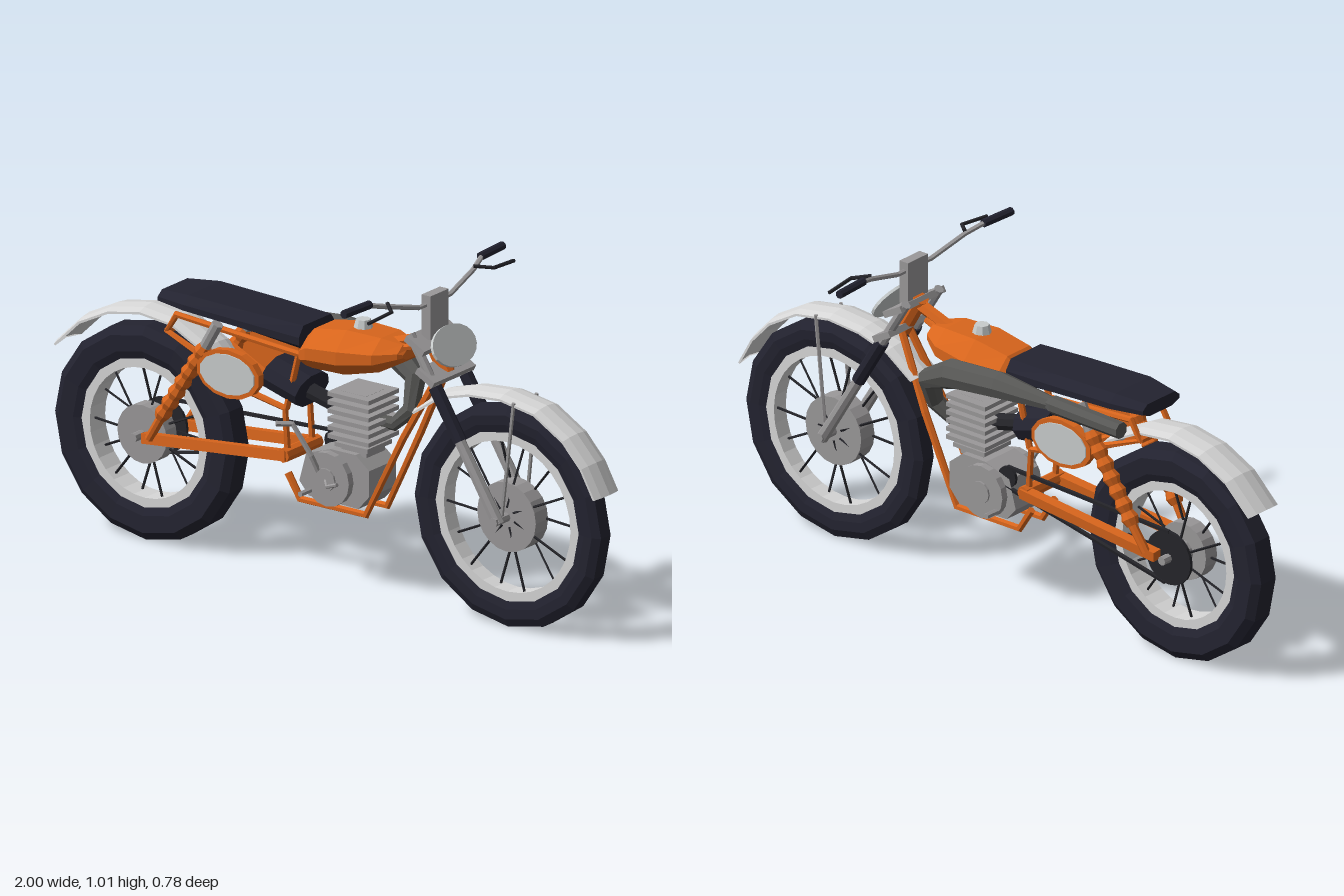
import * as THREE from 'three';

const mat = (name, color) => Object.assign(new THREE.MeshStandardMaterial({ color }), { name });
const M = {
  orange: mat('orange paint', 0xd8651c), dark: mat('dark rubber', 0x232330),
  metal: mat('grey metal', 0x9a9899), light: mat('pale plate', 0xc8cccc),
  white: mat('fender silver', 0xd6d6d6), pipe: mat('exhaust grey', 0x585856),
  black: mat('black steel', 0x25252a),
};
const V = (x, y, z) => new THREE.Vector3(x, y, z);

// Facets a geometry and makes a closed surface face outward
function faceted(geo) {
  const g = geo.index ? geo.toNonIndexed() : geo, p = g.attributes.position;
  const a = V(), b = V(), c = V();
  let vol = 0;
  for (let i = 0; i < p.count; i += 3) {
    a.fromBufferAttribute(p, i); b.fromBufferAttribute(p, i + 1); c.fromBufferAttribute(p, i + 2);
    vol += a.dot(b.cross(c));
  }
  if (vol < 0) for (let i = 0; i < p.count; i += 3) {
    b.fromBufferAttribute(p, i + 1); c.fromBufferAttribute(p, i + 2);
    p.setXYZ(i + 1, c.x, c.y, c.z); p.setXYZ(i + 2, b.x, b.y, b.z);
  }
  g.computeVertexNormals();
  return g;
}

// Skin over equal-sized closed rings, with end caps
function loft(rings) {
  const pos = [], n = rings[0].length;
  const tri = (...v) => v.forEach(q => pos.push(q.x, q.y, q.z));
  for (let i = 0; i + 1 < rings.length; i++) for (let j = 0; j < n; j++) {
    const k = (j + 1) % n, A = rings[i], B = rings[i + 1];
    tri(A[j], A[k], B[k]); tri(A[j], B[k], B[j]);
  }
  const caps = [[rings[0], 1], [rings[rings.length - 1], 0]];
  for (const [r, flip] of caps) {
    const c = r.reduce((s, q) => s.add(q), V(0, 0, 0)).divideScalar(n);
    for (let j = 0; j < n; j++) flip ? tri(c, r[(j + 1) % n], r[j]) : tri(c, r[j], r[(j + 1) % n]);
  }
  const g = new THREE.BufferGeometry();
  g.setAttribute('position', new THREE.Float32BufferAttribute(pos, 3));
  return faceted(g);
}

// Mitred tube through points, with one radius or one per point
function tube(points, radius, sides = 6) {
  const pts = points.map(p => V(...p)), q = new THREE.Quaternion();
  let prev = V(0, 0, 1);
  return loft(pts.map((p, i) => {
    const t = V(0, 0, 0);
    if (i > 0) t.add(p.clone().sub(pts[i - 1]).normalize());
    if (i < pts.length - 1) t.add(pts[i + 1].clone().sub(p).normalize());
    t.normalize();
    q.premultiply(new THREE.Quaternion().setFromUnitVectors(prev, t));
    prev = t;
    const r = Array.isArray(radius) ? radius[i] : radius;
    return Array.from({ length: sides }, (_, k) => {
      const a = (k + 0.5) / sides * Math.PI * 2;
      return V(Math.cos(a) * r, Math.sin(a) * r, 0).applyQuaternion(q).add(p);
    });
  }));
}

export function createModel() {
  const root = new THREE.Group();
  root.name = 'motorcycle';
  const add = (name, geo, m, parent = root) => {
    const mesh = new THREE.Mesh(geo, m);
    mesh.name = name;
    parent.add(mesh);
    return mesh;
  };
  const pipe = (name, pts, r, m, sides, parent) => add(name, tube(pts, r, sides), m, parent);
  const both = (name, pts, r, m, sides) => [1, -1].forEach(s =>
    pipe(name, pts.map(([x, y, z]) => [x, y, z * s]), r, m, sides));
  const box = (name, w, h, d, x, y, z, m, tilt = 0) => {
    const b = add(name, faceted(new THREE.BoxGeometry(w, h, d)), m);
    b.position.set(x, y, z); b.rotation.z = tilt;
    return b;
  };
  // Disc or drum along z
  const disc = (name, r, z0, z1, x, y, m, sides = 20, parent = root) => {
    const d = add(name, faceted(new THREE.CylinderGeometry(r, r, z1 - z0, sides).rotateX(Math.PI / 2)), m, parent);
    d.position.set(x, y, (z0 + z1) / 2);
    return d;
  };

  // Wheels: tyre, rim, spokes, axle
  const wheel = (name, x, y, R, rimR, w) => {
    const g = new THREE.Group();
    g.name = name; g.position.set(x, y, 0); root.add(g);
    const ring = (prof, n) => faceted(new THREE.LatheGeometry(
      prof.map(p => new THREE.Vector2(...p)), n).rotateX(Math.PI / 2));
    const side = [[rimR, w * 0.7], [rimR + 0.03, w * 0.95], [R - 0.025, w], [R, w * 0.65]];
    const mirror = side.map(([r, z]) => [r, -z]).reverse();
    add('tyre', ring([...side, ...mirror, side[0]], 16), M.dark, g);
    const i = rimR - 0.024, o = rimR + 0.006, h = w * 0.75;
    add('rim', ring([[i, h], [o, h], [o, -h], [i, -h], [i, h]], 32), M.white, g);
    for (let k = 0; k < 14; k++) {
      const a = k / 14 * Math.PI * 2, b = a + 0.15, s = k % 2 ? 1 : -1;
      pipe('spoke', [[Math.cos(b) * 0.03, Math.sin(b) * 0.03, s * 0.03],
        [Math.cos(a) * (i + 0.01), Math.sin(a) * (i + 0.01), s * 0.01]], 0.004, M.black, 4, g);
    }
    disc('axle', 0.014, -0.095, 0.095, 0, 0, M.metal, 8, g);
    return g;
  };
  const front = wheel('frontWheel', 0.645, 0.347, 0.34, 0.255, 0.036);
  disc('frontHub', 0.107, -0.03, 0.03, 0, 0, M.metal, 20, front);
  const rear = wheel('rearWheel', -0.67, 0.338, 0.33, 0.224, 0.05);
  disc('rearDrum', 0.09, 0.0, 0.05, 0, 0, M.metal, 20, rear);
  disc('rearHub', 0.04, -0.055, 0, 0, 0, M.metal, 12, rear);
  disc('rearSprocket', 0.085, -0.064, -0.054, 0, 0, M.black, 20, rear);

  // Crowned fenders following the wheels
  const fender = (name, pts, cx, cy, w) => add(name, loft(pts.map(([x, y]) => {
    const n = V(x - cx, y - cy, 0).normalize();
    const row = off => [-1, -0.6, 0, 0.6, 1].map(k => V(x, y, k * w).addScaledVector(n, off - 0.014 * k * k));
    return [...row(0), ...row(-0.007).reverse()];
  })), M.white);
  fender('frontFender', [[0.31, 0.62], [0.41, 0.69], [0.52, 0.722], [0.64, 0.732], [0.77, 0.71],
    [0.88, 0.645], [0.95, 0.57], [1.0, 0.48]], 0.645, 0.35, 0.058);
  fender('rearFender', [[-0.993, 0.565], [-0.9, 0.655], [-0.79, 0.71], [-0.67, 0.733], [-0.55, 0.72],
    [-0.43, 0.66], [-0.34, 0.57]], -0.67, 0.34, 0.064);
  both('fenderStay', [[0.69, 0.715, 0.056], [0.65, 0.36, 0.06]], 0.006, M.metal, 5);

  // Fork, clamps and plate
  both('forkTube', [[0.328, 0.86, 0.075], [0.43, 0.695, 0.075]], 0.015, M.metal, 8);
  both('forkGaiter', [[0.418, 0.715, 0.075], [0.51, 0.565, 0.075]], 0.021, M.dark, 8);
  both('forkLeg', [[0.505, 0.572, 0.075], [0.65, 0.338, 0.075]], [0.017, 0.019], M.metal, 8);
  box('lowerClamp', 0.07, 0.02, 0.205, 0.4, 0.745, 0, M.metal, -0.5);
  box('upperClamp', 0.075, 0.02, 0.2, 0.36, 0.835, 0, M.metal, -0.5);
  box('handlebarMount', 0.032, 0.135, 0.09, 0.362, 0.91, 0, M.metal);
  const plate = add('numberPlate', faceted(new THREE.CylinderGeometry(1, 1, 0.009, 20).scale(0.063, 1, 0.1)), M.light);
  plate.position.set(0.43, 0.825, 0); plate.rotation.z = -1.07;

  // Handlebar, grips and levers
  both('handlebar', [[0.36, 0.948, 0], [0.36, 0.948, 0.075], [0.345, 0.985, 0.21], [0.325, 1.004, 0.28]], 0.008, M.metal);
  both('grip', [[0.325, 1.004, 0.27], [0.318, 1.004, 0.388]], 0.013, M.dark, 8);
  both('lever', [[0.345, 0.995, 0.21], [0.39, 0.988, 0.25], [0.384, 0.98, 0.355]], 0.006, M.black);

  // Frame
  pipe('steeringHead', [[0.335, 0.855, 0], [0.405, 0.735, 0]], 0.026, M.orange, 8);
  pipe('backbone', [[0.36, 0.84, 0], [0.2, 0.785, 0], [-0.06, 0.73, 0]], 0.02, M.orange);
  both('cradle', [[0.4, 0.75, 0.015], [0.28, 0.52, 0.045], [0.15, 0.258, 0.052], [-0.09, 0.258, 0.052],
    [-0.135, 0.33, 0.052]], 0.012, M.orange);
  both('seatRail', [[0.3, 0.8, 0.015], [-0.05, 0.705, 0.06], [-0.53, 0.742, 0.068], [-0.565, 0.685, 0.068],
    [-0.43, 0.63, 0.068], [-0.3, 0.565, 0.068], [-0.14, 0.53, 0.06], [-0.13, 0.38, 0.06]], 0.011, M.orange);
  both('seatStrut', [[-0.135, 0.53, 0.06], [-0.09, 0.71, 0.06]], 0.01, M.orange);
  pipe('rearCrossTube', [[-0.565, 0.685, -0.068], [-0.565, 0.685, 0.068]], 0.011, M.orange);
  both('swingarm', [[-0.64, 0.342, 0.08], [-0.12, 0.392, 0.075]], 0.022, M.orange, 4);
  disc('swingarmPivot', 0.022, -0.085, 0.085, -0.13, 0.392, M.orange, 8);

  // Shock absorbers with coiled springs
  const springPts = [], springR = [];
  for (let i = 0; i <= 14; i++) {
    const t = i / 14;
    springPts.push([-0.4 - 0.165 * t, 0.68 - 0.255 * t, 0.1]);
    springR.push(i % 2 ? 0.027 : 0.019);
  }
  both('shockSpring', springPts, springR, M.orange, 8);
  both('shockTop', [[-0.36, 0.755, 0.095], [-0.402, 0.678, 0.1]], 0.018, M.metal, 8);
  both('shockFoot', [[-0.56, 0.43, 0.1], [-0.61, 0.35, 0.095]], 0.014, M.orange, 8);

  // Fuel tank: faceted sections of x, bottom, top, half width
  const body = (rows, round) => loft(rows.map(([x, y0, y1, w]) =>
    [[-0.6, 0], [0.6, 0], [1, 0.3], [1, 0.6], [round, 1], [-round, 1], [-1, 0.6], [-1, 0.3]]
      .map(([z, y]) => V(x, y0 + (y1 - y0) * y, z * w))));
  add('fuelTank', body([[-0.07, 0.675, 0.765, 0.088], [-0.04, 0.675, 0.795, 0.1], [0.08, 0.68, 0.815, 0.108],
    [0.2, 0.71, 0.813, 0.095], [0.265, 0.745, 0.8, 0.055], [0.275, 0.755, 0.785, 0.04]], 0.5), M.orange);
  const cap = add('fuelCap', faceted(new THREE.CylinderGeometry(0.022, 0.03, 0.03, 8)), M.light);
  cap.position.set(0.1, 0.825, 0);
  // Seat
  add('seat', body([[-0.588, 0.765, 0.806, 0.083], [-0.48, 0.757, 0.815, 0.105], [-0.25, 0.742, 0.808, 0.102],
    [-0.068, 0.722, 0.802, 0.09]], 0.75), M.dark);

  // Oval side panels with a painted border
  for (const s of [1, -1]) {
    const oval = (name, rx, ry, z, t, m) => {
      const p = disc(name, 1, z - t / 2, z + t / 2, -0.305, 0.617, m, 14);
      p.scale.set(rx, ry, 1);
    };
    oval('sidePanelBorder', 0.115, 0.075, s * 0.108, 0.024, M.orange);
    oval('sidePanel', 0.1, 0.062, s * 0.121, 0.006, M.light);
  }
  // Air filter
  const filter = add('airFilter', faceted(new THREE.CylinderGeometry(0.055, 0.055, 0.13, 10)
    .scale(1, 1, 1.5).rotateZ(Math.PI / 2)), M.dark);
  filter.position.set(-0.15, 0.6, 0); filter.rotation.z = -0.28;
  pipe('intake', [[-0.1, 0.58, 0], [0.06, 0.54, 0]], 0.026, M.black, 8);

  // Engine: crankcase, covers, finned cylinder
  const cs = new THREE.Shape([[-0.085, 0.32], [-0.05, 0.28], [0.13, 0.275], [0.17, 0.32], [0.17, 0.4],
    [0.12, 0.44], [0.03, 0.44], [-0.06, 0.41]].map(p => new THREE.Vector2(...p)));
  add('crankcase', faceted(new THREE.ExtrudeGeometry(cs, { depth: 0.13, bevelEnabled: false }).translate(0, 0, -0.065)), M.metal);
  for (const s of [1, -1]) {
    disc('engineCover', 0.083, s * 0.075 - 0.013, s * 0.075 + 0.013, 0.03, 0.352, M.metal, 16);
    disc('coverCap', 0.035, s * 0.088 - 0.006, s * 0.088 + 0.006, 0.03, 0.352, M.metal, 12);
  }
  box('cylinderBarrel', 0.09, 0.19, 0.09, 0.1, 0.525, 0, M.metal);
  for (let i = 0; i < 7; i++) {
    const w = i === 0 ? 0.12 : 0.15;
    box('coolingFin', w, 0.013, w, 0.1, 0.457 + i * 0.026, 0, M.metal);
  }
  disc('footPegs', 0.009, -0.135, 0.135, -0.03, 0.307, M.metal, 6);
  pipe('kickStarter', [[0.0, 0.37, 0.085], [-0.015, 0.42, 0.1], [-0.07, 0.512, 0.118], [-0.105, 0.515, 0.152]], 0.009, M.metal);
  pipe('gearLever', [[0.03, 0.35, 0.09], [0.05, 0.34, 0.11], [0.09, 0.355, 0.115]], 0.006, M.metal);

  // Chain and front sprocket
  disc('frontSprocket', 0.033, -0.064, -0.054, -0.05, 0.415, M.black, 12);
  pipe('upperChain', [[-0.67, 0.42, -0.06], [-0.05, 0.447, -0.06]], 0.007, M.black, 4);
  pipe('lowerChain', [[-0.655, 0.255, -0.06], [-0.04, 0.384, -0.06]], 0.007, M.black, 4);

  // High-level exhaust on the right side
  pipe('exhaustChamber', [[0.14, 0.53, -0.02], [0.19, 0.525, -0.03], [0.235, 0.57, -0.05], [0.225, 0.66, -0.09],
    [0.1, 0.725, -0.128], [-0.08, 0.74, -0.128], [-0.28, 0.742, -0.132]],
  [0.018, 0.022, 0.027, 0.035, 0.046, 0.042, 0.022], M.pipe, 8);
  pipe('muffler', [[-0.27, 0.742, -0.133], [-0.29, 0.742, -0.133], [-0.55, 0.736, -0.135]], [0.02, 0.028, 0.026], M.pipe, 8);
  return root;
}
